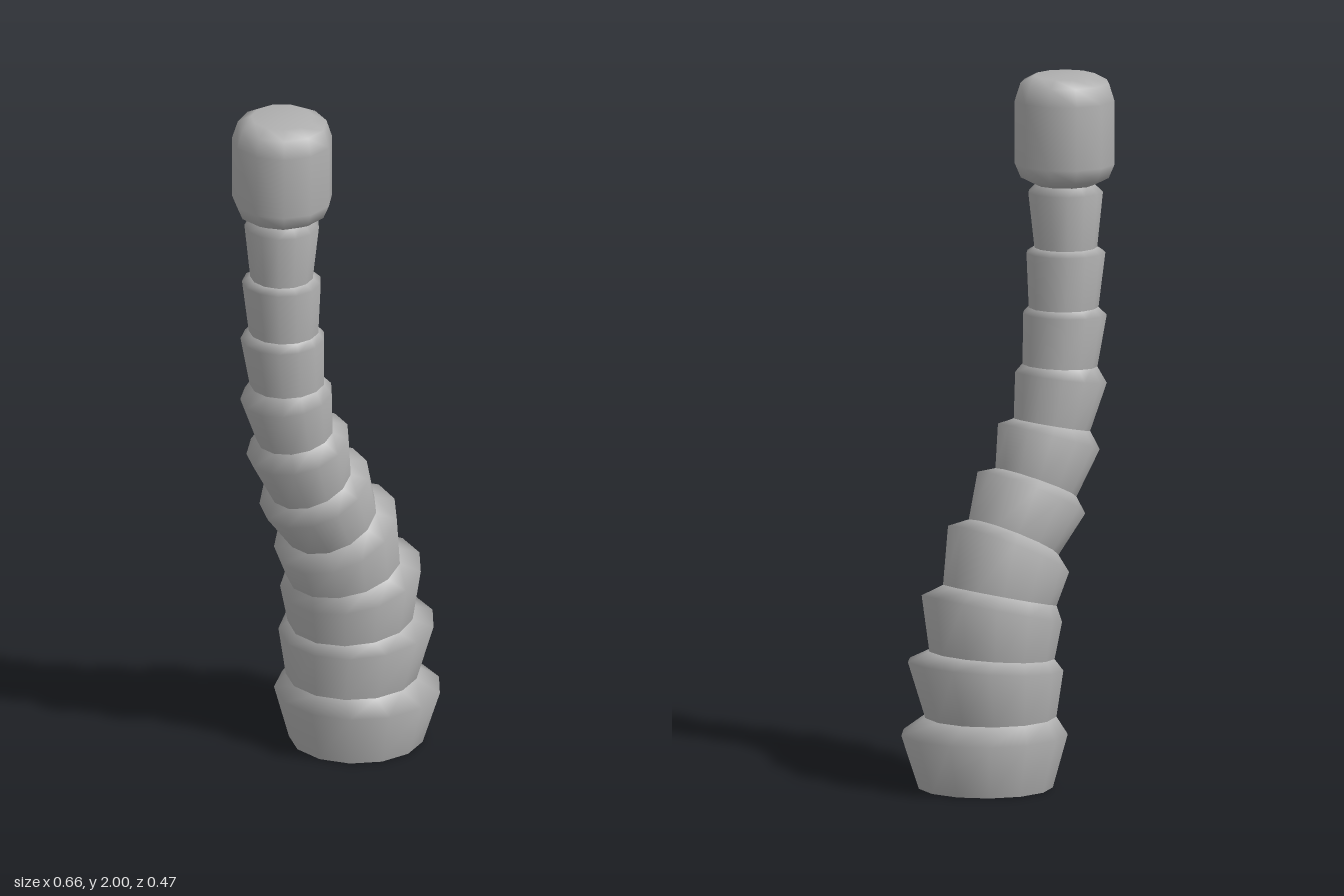
import * as THREE from 'three';

const SIDES = 13;
const material = new THREE.MeshStandardMaterial({ color: 0xb0b0b0, side: THREE.DoubleSide });

// Each ring: centre x, centre y, tilt about z, radius.
// Narrow foot of every segment (the last one is the open top of the stack).
const feet = [
  [0.09, 0, 0, 0.19], [0.072, 0.2, 0, 0.186], [0.068, 0.375, 0.086, 0.178],
  [0.04, 0.542, 0.234, 0.164], [-0.009, 0.7, 0.472, 0.137], [-0.089, 0.848, 0.424, 0.122],
  [-0.147, 1.008, 0.21, 0.11], [-0.176, 1.175, 0.05, 0.106], [-0.189, 1.34, 0, 0.099],
  [-0.197, 1.51, 0, 0.089], [-0.195, 1.695, 0, 0.077],
];
// Flared shoulder of every segment
const shoulders = [
  [0.095, 0.153, 0, 0.236], [0.091, 0.347, 0.08, 0.221], [0.069, 0.507, 0.242, 0.203],
  [0.01, 0.668, 0.458, 0.184], [-0.072, 0.82, 0.464, 0.164], [-0.135, 0.975, 0.316, 0.149],
  [-0.179, 1.14, 0.156, 0.131], [-0.193, 1.32, 0.03, 0.119], [-0.197, 1.495, 0, 0.112],
  [-0.196, 1.668, 0, 0.106],
];

// Smooth skin through a row of tilted rings
function skin(name, rings) {
  const positions = [], index = [];
  rings.forEach(([x, y, tilt, r], k) => {
    for (let i = 0; i < SIDES; i++) {
      const a = (i / SIDES) * Math.PI * 2;
      const c = r * Math.cos(a);
      positions.push(x + c * Math.cos(tilt), y + c * Math.sin(tilt), -r * Math.sin(a));
      if (k === 0) continue;
      const j = (i + 1) % SIDES, up = k * SIDES, low = up - SIDES;
      index.push(low + i, low + j, up + j, low + i, up + j, up + i);
    }
  });
  const geometry = new THREE.BufferGeometry();
  geometry.setAttribute('position', new THREE.Float32BufferAttribute(positions, 3));
  geometry.setIndex(index);
  geometry.computeVertexNormals();
  const mesh = new THREE.Mesh(geometry, material);
  mesh.name = name;
  return mesh;
}

export function createModel() {
  const model = new THREE.Group();
  model.name = 'segmentedStalk';

  // Stacked flaring segments, each rounding in to the foot of the next
  shoulders.forEach((shoulder, i) => {
    model.add(skin(`segment${i + 1}`, [feet[i], shoulder, feet[i + 1]]));
  });

  // Rounded knob on top
  const profile = [
    [0, 1.69], [0.085, 1.69], [0.125, 1.71], [0.142, 1.75],
    [0.142, 1.93], [0.126, 1.98], [0.088, 2], [0, 2],
  ].map(([r, y]) => new THREE.Vector2(r, y));
  const head = new THREE.Mesh(new THREE.LatheGeometry(profile, 11, Math.PI / 2), material);
  head.name = 'head';
  head.position.x = -0.195;
  model.add(head);

  return model;
}
